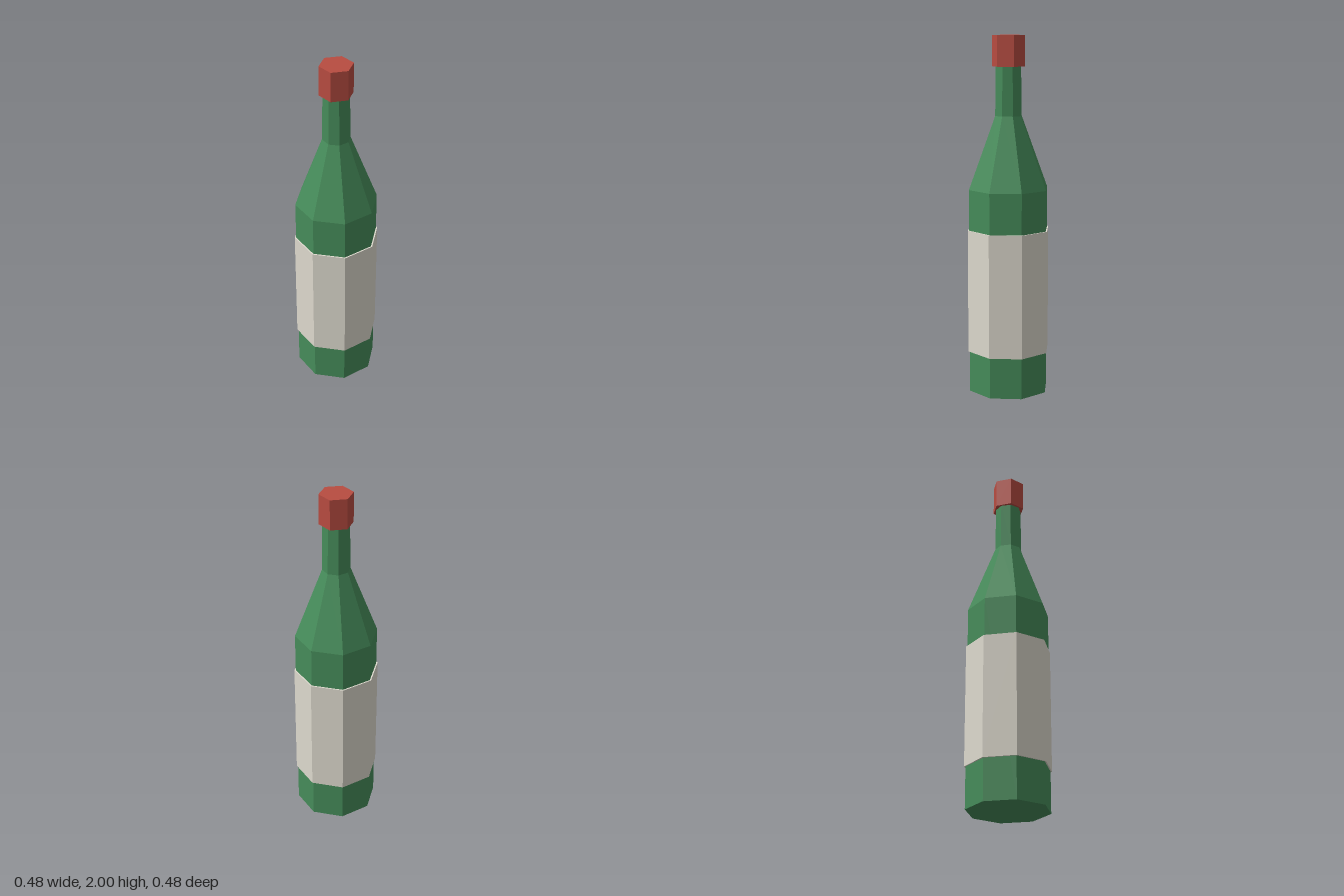
import * as THREE from 'three';

const flat = (name, color) => {
  const m = new THREE.MeshStandardMaterial({ color, flatShading: true });
  m.name = name;
  return m;
};

export function createModel() {
  const glass = flat('green glass', 0x468c5a);
  const paper = flat('cream paper', 0xdedace);
  const foil = flat('red foil', 0xb84c41);

  const bottle = new THREE.Group();
  bottle.name = 'bottle';
  const add = (name, geometry, material, y = 0) => {
    const mesh = new THREE.Mesh(geometry, material);
    mesh.name = name;
    mesh.position.y = y;
    bottle.add(mesh);
    return mesh;
  };

  // Eight-sided body, shoulder and neck, from base to mouth
  const profile = [
    [0, 0], [0.23, 0], [0.23, 1.155], [0.077, 1.56], [0.073, 1.84], [0, 1.84],
  ].map(([r, y]) => new THREE.Vector2(r, y));
  add('glassBody', new THREE.LatheGeometry(profile, 8), glass);

  // Label wrapped around the body, with a thin visible rim
  add('label', new THREE.CylinderGeometry(0.238, 0.238, 0.695, 8), paper, 0.58);

  // Six-sided cap with corners on the x axis
  const cap = add('cap', new THREE.CylinderGeometry(0.092, 0.092, 0.17, 6), foil, 1.915);
  cap.rotation.y = Math.PI / 2;

  return bottle;
}
